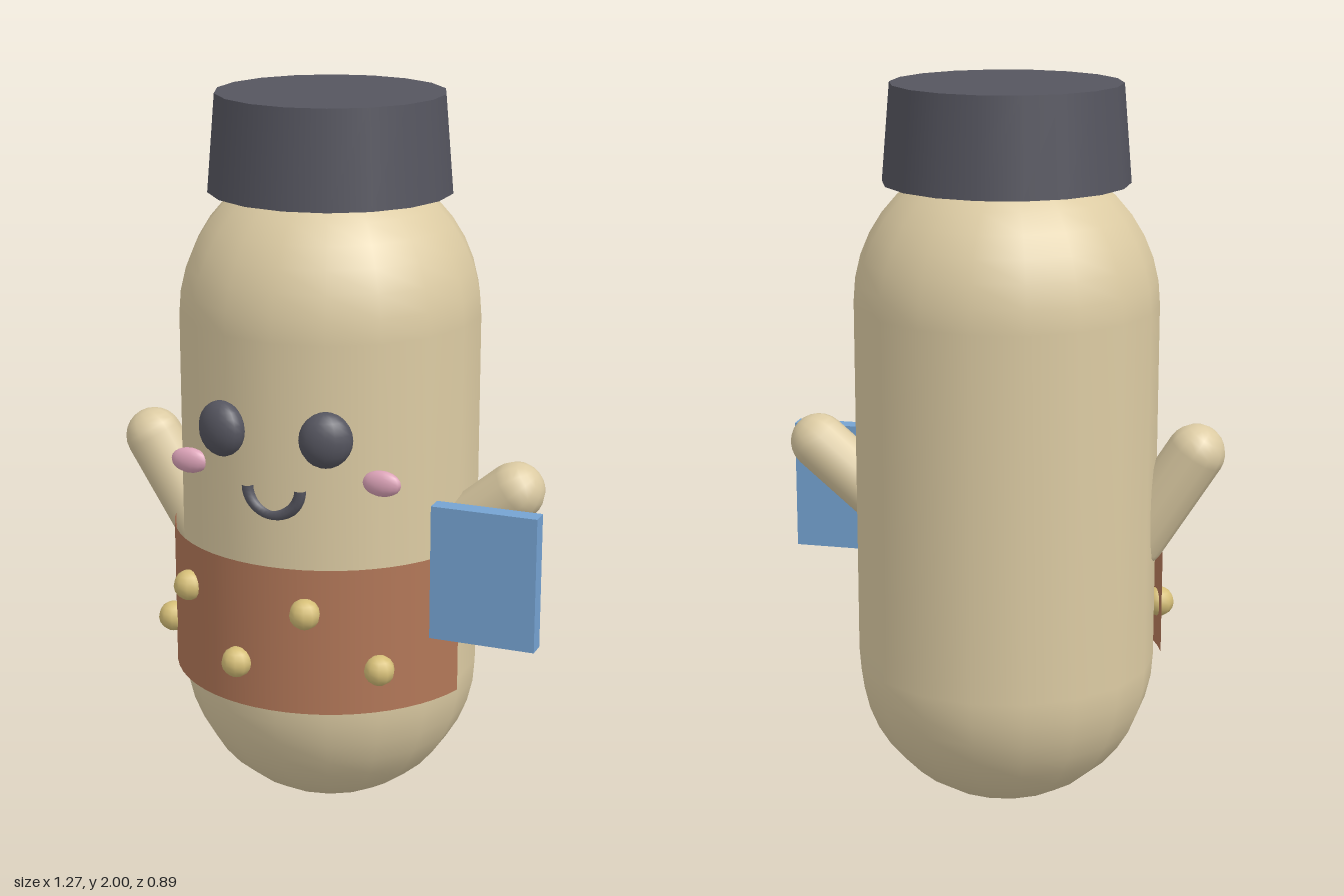
import * as THREE from 'three';

const mat = (name, color, side = THREE.FrontSide) => {
  const m = new THREE.MeshStandardMaterial({ color, side });
  m.name = name;
  return m;
};

export function createModel() {
  const group = new THREE.Group();
  const cream = mat('cream', 0xdccba3);
  const charcoal = mat('charcoal', 0x55555f);
  const brown = mat('leather brown', 0xb27758, THREE.DoubleSide);
  const gold = mat('gold', 0xd6bf78);
  const pink = mat('pink', 0xdca3b8);
  const blue = mat('blue', 0x75a3d2);

  const CX = -0.045, CZ = -0.033; // body axis
  const add = (name, geometry, material, x, y, z) => {
    const mesh = new THREE.Mesh(geometry, material);
    mesh.name = name;
    mesh.position.set(x, y, z);
    group.add(mesh);
    return mesh;
  };

  // Capsule body
  const R = 0.413, profile = [];
  for (let i = 0; i <= 10; i++) {
    const a = (i / 10) * Math.PI / 2;
    profile.push(new THREE.Vector2(R * Math.sin(a), R - R * Math.cos(a)));
  }
  for (let i = 10; i >= 0; i--) {
    const a = (i / 10) * Math.PI / 2;
    profile.push(new THREE.Vector2(R * Math.sin(a), 1.41 + R * Math.cos(a)));
  }
  add('body', new THREE.LatheGeometry(profile, 18), cream, CX, 0, CZ);

  // Tapered cap
  add('cap', new THREE.CylinderGeometry(0.31, 0.332, 0.262, 18), charcoal, CX, 1.869, CZ);

  // Belt wrapped round the front, open at the back
  const half = 1.287;
  add('belt', new THREE.CylinderGeometry(0.438, 0.438, 0.41, 24, 1, true, -half, 2 * half),
    brown, CX, 0.605, CZ);

  // Studs in a zigzag along the belt
  for (let i = 0; i < 6; i++) {
    const a = (i - 2.5) * 0.447;
    add('stud', new THREE.SphereGeometry(0.042, 10, 8), gold,
      CX + 0.447 * Math.sin(a), i % 2 ? 0.69 : 0.525, CZ + 0.447 * Math.cos(a));
  }

  // Eyes and cheeks
  for (const s of [-1, 1]) {
    const eye = add('eye', new THREE.SphereGeometry(1, 16, 12), charcoal, CX + s * 0.147, 1.165, 0.37);
    eye.scale.set(0.071, 0.075, 0.048);
    eye.rotation.y = s * 0.33;
    const cheek = add('cheek', new THREE.SphereGeometry(1, 14, 10), pink, CX + s * 0.275, 1.042, 0.3);
    cheek.scale.set(0.054, 0.035, 0.023);
  }

  // Smile
  const mouth = add('mouth', new THREE.TorusGeometry(0.075, 0.0165, 8, 18, Math.PI), charcoal, CX, 1.02, 0.37);
  mouth.rotation.z = Math.PI;

  // Raised arms, from shoulder to hand
  const arm = (name, shoulder, hand) => {
    const a = new THREE.Vector3(...shoulder), b = new THREE.Vector3(...hand);
    const dir = b.clone().sub(a), mid = a.clone().add(b).multiplyScalar(0.5);
    const mesh = add(name, new THREE.CapsuleGeometry(0.08, dir.length(), 6, 12), cream, mid.x, mid.y, mid.z);
    mesh.quaternion.setFromUnitVectors(new THREE.Vector3(0, 1, 0), dir.normalize());
  };
  arm('rightArm', [-0.4, 0.75, 0.027], [-0.56, 1.007, 0.027]);
  arm('leftArm', [0.31, 0.805, 0.027], [0.51, 0.972, 0.027]);

  // Held book
  add('book', new THREE.BoxGeometry(0.29, 0.37, 0.05), blue, 0.49, 0.79, 0.215);

  return group;
}
